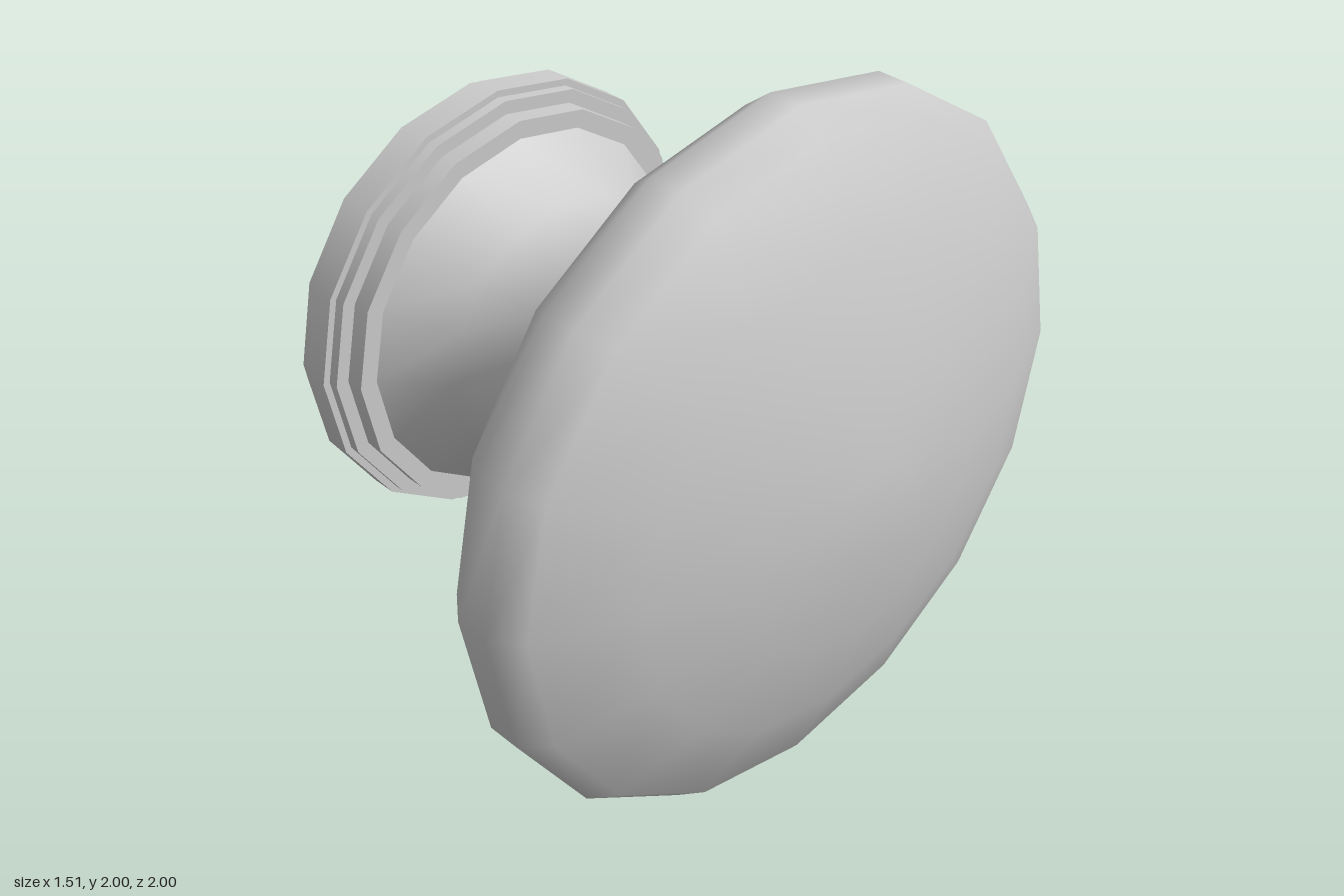
import * as THREE from 'three';

const SIDES = 16;
const material = new THREE.MeshStandardMaterial({ color: 0xcccccc });

// Revolve [radius, x] pairs around the x axis, smooth along the profile
function turned(name, profile) {
  const points = profile.map(([r, x]) => new THREE.Vector2(r, x));
  const geometry = new THREE.LatheGeometry(points, SIDES);
  geometry.rotateZ(-Math.PI / 2);
  const mesh = new THREE.Mesh(geometry, material);
  mesh.name = name;
  return mesh;
}

export function createModel() {
  const group = new THREE.Group();
  group.name = 'doorKnob';

  // Stepped mounting plate: each straight run is its own band, so edges stay crisp
  const plate = new THREE.Group();
  plate.name = 'mountingPlate';
  const steps = [
    [0, -0.755], [0.627, -0.755], [0.627, -0.715], [0.647, -0.715], [0.647, -0.637],
    [0.627, -0.637], [0.627, -0.606], [0.588, -0.606], [0.588, -0.551], [0.535, -0.551],
  ];
  for (let i = 0; i < steps.length - 1; i++) {
    plate.add(turned('plateBand' + (i + 1), [steps[i], steps[i + 1]]));
  }

  // Flared neck flowing into the domed grip
  const knob = turned('neckAndGrip', [
    [0.535, -0.551], [0.397, -0.395], [0.366, -0.203], [0.45, -0.02], [0.625, 0.1],
    [0.79, 0.18], [0.94, 0.277], [1, 0.355], [1, 0.45], [0.942, 0.53],
    [0.69, 0.64], [0.41, 0.715], [0.14, 0.755], [0, 0.755],
  ]);

  group.add(plate, knob);
  group.position.y = 1;
  const model = new THREE.Group();
  model.add(group);
  return model;
}
